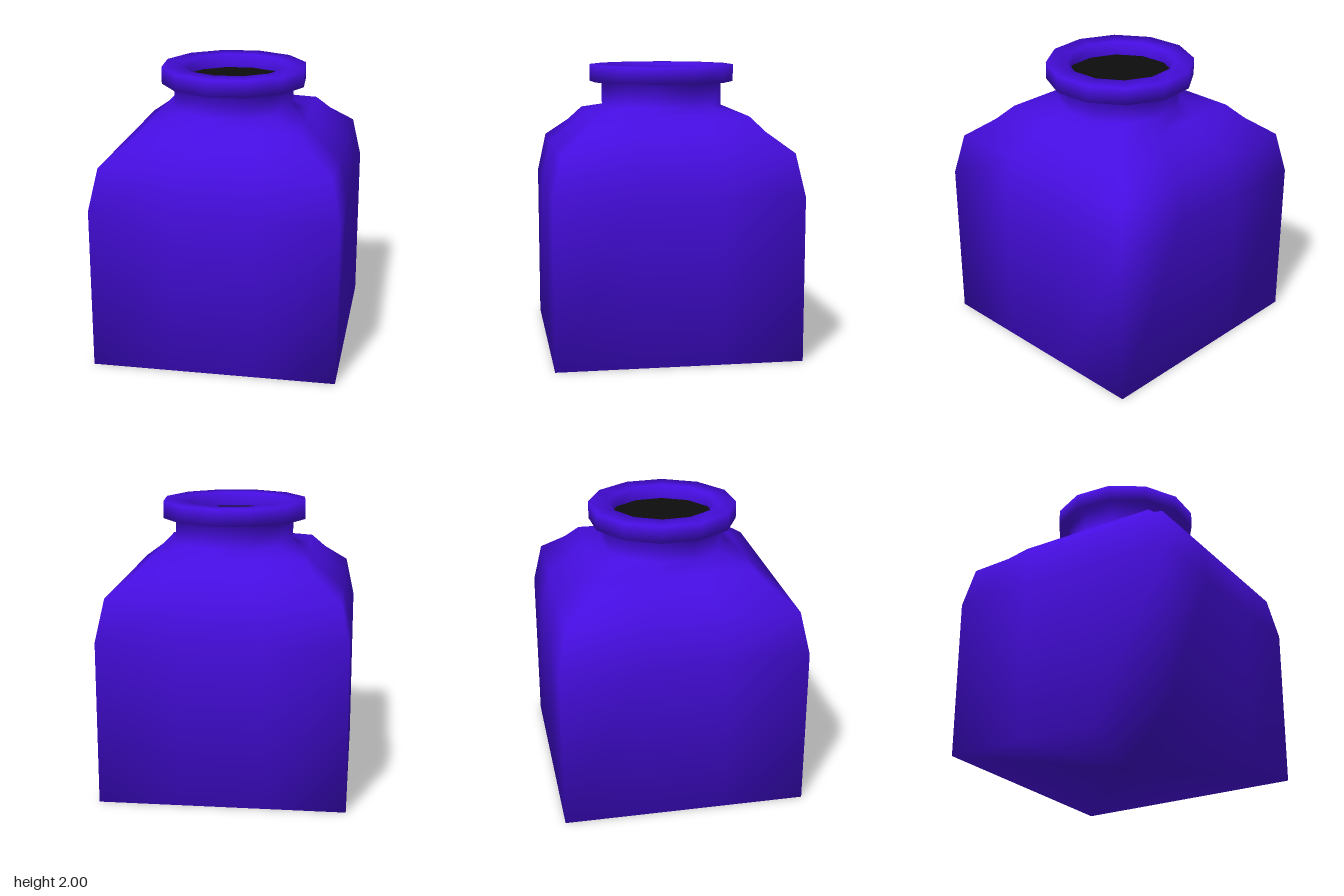
import * as THREE from 'three';

const SIDES = 12;
const TWIST = THREE.MathUtils.degToRad(11);

// Point k of a 12-point square ring, corners at k = 1, 4, 7, 10
function squarePoint(k, half) {
  const j = (k + SIDES - 1) % SIDES;
  const side = Math.floor(j / 3);
  const corner = (i) => {
    const a = Math.PI / 4 + (i * Math.PI) / 2;
    return new THREE.Vector2(Math.cos(a), Math.sin(a)).multiplyScalar(half * Math.SQRT2);
  };
  return corner(side).lerp(corner(side + 1), (j % 3) / 3);
}

// Point k of a round ring
function roundPoint(k, radius) {
  const a = TWIST + (k * Math.PI * 2) / SIDES;
  return new THREE.Vector2(Math.cos(a), Math.sin(a)).multiplyScalar(radius);
}

// Skin a stack of [pointRule, size, height] rings, closed underneath
function loftRings(rings) {
  const positions = [];
  const index = [];
  for (const [rule, size, y] of rings) {
    for (let k = 0; k < SIDES; k++) {
      const p = rule(k, size);
      positions.push(p.x, y, p.y);
    }
  }
  for (let i = 0; i < rings.length - 1; i++) {
    for (let k = 0; k < SIDES; k++) {
      const a = i * SIDES + k;
      const b = i * SIDES + ((k + 1) % SIDES);
      const c = a + SIDES;
      const d = b + SIDES;
      index.push(a, c, b, b, c, d);
    }
  }
  const centre = positions.length / 3;
  positions.push(0, rings[0][2], 0);
  for (let k = 0; k < SIDES; k++) index.push(centre, k, (k + 1) % SIDES);

  const geometry = new THREE.BufferGeometry();
  geometry.setAttribute('position', new THREE.Float32BufferAttribute(positions, 3));
  geometry.setIndex(index);
  geometry.computeVertexNormals();
  return geometry;
}

export function createModel() {
  const group = new THREE.Group();
  group.name = 'squareBottle';

  const violetGlass = new THREE.MeshStandardMaterial({ color: 0x460de0 });
  violetGlass.name = 'violetGlass';
  const darkInk = new THREE.MeshStandardMaterial({ color: 0x0d0d0d });
  darkInk.name = 'darkInk';

  // Square body and shoulders, round neck, rim and inner lip
  const bottle = new THREE.Mesh(
    loftRings([
      [squarePoint, 0.85, 0],
      [squarePoint, 0.85, 1.14],
      [squarePoint, 0.79, 1.43],
      [squarePoint, 0.625, 1.56],
      [squarePoint, 0.53, 1.66],
      [roundPoint, 0.43, 1.71],
      [roundPoint, 0.43, 1.88],
      [roundPoint, 0.517, 1.88],
      [roundPoint, 0.517, 2],
      [roundPoint, 0.375, 2],
      [roundPoint, 0.375, 1.9],
    ]),
    violetGlass
  );
  bottle.name = 'bottle';
  group.add(bottle);

  // Dark surface filling the mouth
  const fill = new THREE.CircleGeometry(0.375, SIDES, -TWIST);
  fill.rotateX(-Math.PI / 2);
  const mouth = new THREE.Mesh(fill, darkInk);
  mouth.name = 'mouthFill';
  mouth.position.y = 1.9;
  group.add(mouth);

  return group;
}
